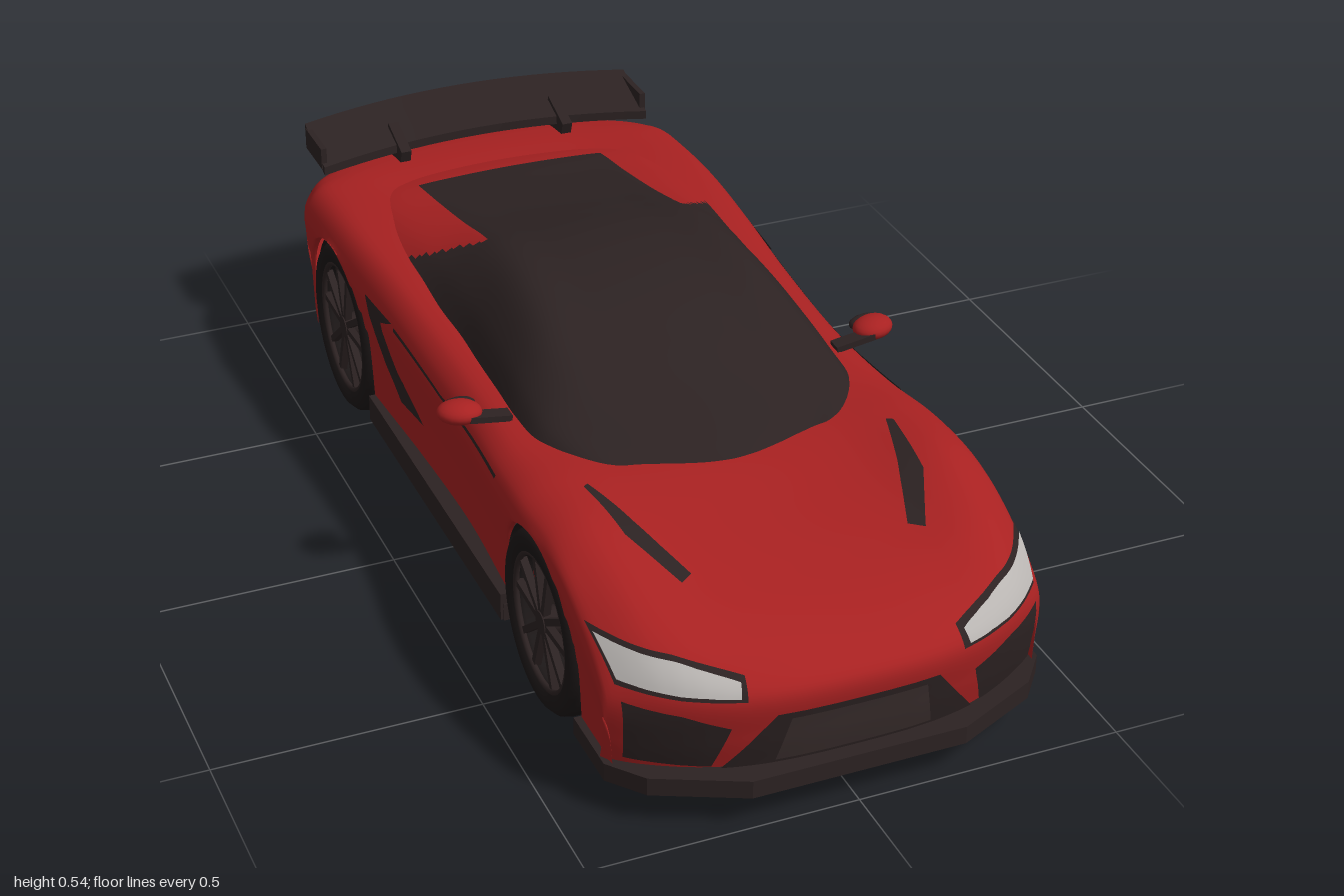
import * as THREE from 'three';

const V = (x, y, z) => new THREE.Vector3(x, y, z);
const paint = (name, color, side = THREE.FrontSide) => {
  const m = new THREE.MeshStandardMaterial({ color, side });
  m.name = name;
  return m;
};
const WHEELS = [
  { name: 'front', z: 0.535, r: 0.172, caliper: -0.085 },
  { name: 'rear', z: -0.6, r: 0.178, caliper: 0.085 },
];

export function createModel() {
  const model = new THREE.Group();
  model.name = 'sportsCar';
  const red = paint('bodyRed', 0xa82121, THREE.DoubleSide);
  const dark = paint('carbonBlack', 0x2c2222, THREE.DoubleSide);
  const rubber = paint('tyreBlack', 0x1c1717, THREE.DoubleSide);
  const lamp = paint('lampGrey', 0xb9b5b2, THREE.DoubleSide);
  const trim = paint('grilleGrey', 0x3a2e2d, THREE.DoubleSide);

  function add(name, geo, mat, x = 0, y = 0, z = 0, parent = model) {
    const m = new THREE.Mesh(geo, mat);
    m.name = name;
    m.position.set(x, y, z);
    parent.add(m);
    return m;
  }
  const box = (w, h, d) => new THREE.BoxGeometry(w, h, d);

  // Smooth skin through mirrored cross-sections; pick() gives the material slot of a cell
  function loft(sections, along, across, warp = () => {}, pick = () => 0) {
    const full = sections.map((h) => [...h, ...h.slice(0, -1).reverse().map((p) => V(-p.x, p.y, p.z))]);
    const rails = full[0].map((_, i) => new THREE.CatmullRomCurve3(full.map((r) => r[i])));
    const n = (full.length - 1) * along, m = (rails.length - 1) * across;
    const pts = [], cells = [[], []];
    for (let i = 0; i <= n; i++) {
      const ring = new THREE.CatmullRomCurve3(rails.map((c) => c.getPoint(i / n)));
      for (let j = 0; j <= m; j++) {
        const p = ring.getPoint(j / m);
        warp(p);
        pts.push(p);
      }
    }
    for (let i = 0; i < n; i++) for (let j = 0; j < m; j++) {
      const a = i * (m + 1) + j, b = a + m + 1;
      const mid = pts[a].clone().add(pts[b + 1]).multiplyScalar(0.5);
      cells[pick(mid)].push(a, a + 1, b, a + 1, b + 1, b);
    }
    const g = new THREE.BufferGeometry().setFromPoints(pts);
    g.setIndex(cells.flat());
    g.addGroup(0, cells[0].length, 0);
    g.addGroup(cells[0].length, cells[1].length, 1);
    g.computeVertexNormals();
    return g;
  }

  // Body shell: z, half width, shoulder height, fender height, centre height
  const bodyKeys = [
    [-0.95, 0.37, 0.11, 0.12, 0.12], [-0.975, 0.38, 0.2, 0.22, 0.22], [-0.975, 0.385, 0.28, 0.32, 0.33],
    [-0.965, 0.39, 0.32, 0.36, 0.37], [-0.93, 0.4, 0.34, 0.39, 0.395], [-0.85, 0.41, 0.355, 0.408, 0.41],
    [-0.7, 0.415, 0.365, 0.42, 0.415], [-0.55, 0.415, 0.365, 0.425, 0.425], [-0.35, 0.405, 0.36, 0.42, 0.42],
    [-0.15, 0.395, 0.35, 0.405, 0.4], [0.1, 0.39, 0.34, 0.392, 0.39], [0.3, 0.4, 0.345, 0.388, 0.385],
    [0.45, 0.41, 0.36, 0.4, 0.38], [0.6, 0.41, 0.362, 0.403, 0.36], [0.75, 0.41, 0.345, 0.378, 0.338],
    [0.86, 0.41, 0.315, 0.347, 0.315], [0.94, 0.41, 0.275, 0.305, 0.282], [0.985, 0.41, 0.225, 0.245, 0.248],
    [0.98, 0.41, 0.15, 0.16, 0.17], [0.965, 0.41, 0.09, 0.095, 0.095],
  ];
  const bodySections = bodyKeys.map(([z, w, ys, yf, yc]) => {
    const yb = Math.min(0.09, ys - 0.015);
    return [V(w - 0.012, yb, z), V(w - 0.008, yb + (ys - yb) * 0.5, z), V(w, ys, z), V(w - 0.03, yf - 0.012, z),
      V(0.325, yf, z), V(0.2, yf * 0.3 + yc * 0.7, z), V(0, yc, z)];
  });
  const body = add('bodyShell', loft(bodySections, 10, 4, (p) => {
    // sweep the nose and tail corners back, then open the wheel arches
    const k = Math.pow(Math.abs(p.x) / 0.41, 3);
    const bend = 0.13 * THREE.MathUtils.smoothstep(p.z, 0.5, 0.95) - 0.1 * THREE.MathUtils.smoothstep(-p.z, 0.75, 0.95);
    p.z -= bend * k;
    for (const w of WHEELS) {
      const d = Math.abs(p.z - w.z), r = w.r + 0.01;
      if (d < r && Math.abs(p.x) > 0.29) p.y = Math.max(p.y, w.r + 0.004 + Math.sqrt(r * r - d * d));
    }
  }), [red, red]);

  // Cabin: z, belt half width, belt height, roof half width, roof edge height, roof centre height
  const cabinKeys = [
    [-0.82, 0.32, 0.36, 0.19, 0.39, 0.395], [-0.7, 0.34, 0.385, 0.2, 0.423, 0.43], [-0.55, 0.345, 0.4, 0.2, 0.448, 0.454],
    [-0.4, 0.34, 0.405, 0.2, 0.476, 0.483], [-0.3, 0.335, 0.4, 0.2, 0.499, 0.507], [-0.2, 0.33, 0.395, 0.205, 0.52, 0.529],
    [-0.1, 0.325, 0.385, 0.21, 0.53, 0.539], [0, 0.325, 0.38, 0.215, 0.527, 0.536], [0.1, 0.325, 0.375, 0.222, 0.508, 0.52],
    [0.2, 0.328, 0.37, 0.228, 0.47, 0.485], [0.3, 0.32, 0.37, 0.225, 0.427, 0.443], [0.42, 0.26, 0.365, 0.17, 0.388, 0.397],
    [0.475, 0.17, 0.35, 0.1, 0.366, 0.374],
  ];
  const cabinSections = cabinKeys.map(([z, wb, yb, wr, yr, yc]) => [V(wb, yb, z),
    V((wb + wr) / 2 + 0.012, (yb + yr) / 2 + 0.008, z), V(wr, yr, z), V(wr * 0.55, yr * 0.3 + yc * 0.7, z), V(0, yc, z)]);
  add('cabin', loft(cabinSections, 10, 6, undefined, (p) => {
    const glass = Math.abs(p.x) < 0.198 ? p.z > -0.69 : p.z > -0.25 - (0.51 - p.y) * 1.7;
    return glass ? 1 : 0;
  }), [red, dark]);

  // Thin panel between two outline edges, laid onto the body surface
  const ray = new THREE.Raycaster();
  const aim = {
    front: (u, v, s) => [V(u * s, v, 3), V(0, 0, -1)],
    back: (u, v, s) => [V(u * s, v, -3), V(0, 0, 1)],
    side: (u, v, s) => [V(3 * s, v, u), V(-s, 0, 0)],
    top: (u, v, s) => [V(u * s, 3, v), V(0, -1, 0)],
  };
  const at = (line, t) => {
    const f = t * (line.length - 1), i = Math.min(Math.floor(f), line.length - 2), k = f - i;
    return [0, 1].map((c) => line[i][c] * (1 - k) + line[i + 1][c] * k);
  };
  function panel(name, mat, view, A, B, lift = 0.006, sides = [1, -1]) {
    const nu = 18, nv = 6;
    for (const s of sides) {
      const pts = [], hit = [], idx = [];
      for (let i = 0; i <= nu; i++) for (let j = 0; j <= nv; j++) {
        const a = at(A, i / nu), b = at(B, i / nu), t = j / nv;
        const [o, d] = aim[view](a[0] + (b[0] - a[0]) * t, a[1] + (b[1] - a[1]) * t, s);
        ray.set(o, d);
        const h = ray.intersectObject(body)[0];
        hit.push(!!h);
        if (!h) { pts.push(V(0, 0.2, 0)); continue; }
        const n = h.face.normal.clone();
        if (n.dot(d) > 0) n.negate();
        pts.push(h.point.clone().addScaledVector(n, lift));
      }
      for (let i = 0; i < nu; i++) for (let j = 0; j < nv; j++) {
        const a = i * (nv + 1) + j, b = a + nv + 1;
        if (hit[a] && hit[b] && hit[a + 1] && hit[b + 1])
          idx.push(...(s > 0 ? [a, b, a + 1, b, b + 1, a + 1] : [a, a + 1, b, b, a + 1, b + 1]));
      }
      const g = new THREE.BufferGeometry().setFromPoints(pts);
      g.setIndex(idx);
      g.computeVertexNormals();
      add(name, g, mat);
    }
  }
  panel('headlightSurround', dark, 'front', [[0.402, 0.322], [0.3, 0.308], [0.195, 0.277]], [[0.39, 0.258], [0.3, 0.249], [0.2, 0.244]], 0.004);
  panel('headlight', lamp, 'front', [[0.396, 0.314], [0.3, 0.3], [0.205, 0.27]], [[0.385, 0.266], [0.3, 0.256], [0.21, 0.25]], 0.008);
  panel('sideGrille', dark, 'front', [[0.385, 0.235], [0.3, 0.222], [0.225, 0.195]], [[0.38, 0.118], [0.31, 0.112], [0.25, 0.108]]);
  panel('grilleSurround', dark, 'front', [[-0.15, 0.213], [0.15, 0.213]], [[-0.235, 0.1], [0.235, 0.1]], 0.004, [1]);
  panel('centreGrille', trim, 'front', [[-0.125, 0.203], [0.125, 0.203]], [[-0.145, 0.11], [0.145, 0.11]], 0.007, [1]);
  panel('hoodVent', dark, 'top', [[0.29, 0.48], [0.255, 0.6], [0.205, 0.74]], [[0.3, 0.49], [0.285, 0.64], [0.23, 0.76]]);
  panel('sideIntake', dark, 'side', [[-0.26, 0.362], [-0.31, 0.342], [-0.24, 0.265], [-0.12, 0.21]],
    [[-0.395, 0.362], [-0.365, 0.325], [-0.31, 0.25], [-0.24, 0.198]]);
  panel('doorCrease', dark, 'side', [[0.32, 0.353], [0, 0.343], [-0.25, 0.358]], [[0.32, 0.347], [0, 0.338], [-0.25, 0.352]], 0.004);
  panel('tailLightBand', dark, 'back', [[-0.365, 0.345], [-0.2, 0.325], [0.2, 0.325], [0.365, 0.345]],
    [[-0.365, 0.315], [-0.2, 0.295], [0.2, 0.295], [0.365, 0.315]], 0.006, [1]);
  panel('rearVent', dark, 'back', [[0.365, 0.27], [0.2, 0.25]], [[0.36, 0.225], [0.22, 0.225]]);
  panel('rearBumperInsert', dark, 'back', [[-0.355, 0.2], [-0.2, 0.185], [0.2, 0.185], [0.355, 0.2]],
    [[-0.35, 0.105], [0.35, 0.105]], 0.006, [1]);

  // Flat floor with wheel notches and front splitter
  const plan = [[0.2, 1], [0.36, 0.925], [0.412, 0.86], [0.412, 0.72], [0.28, 0.72], [0.28, 0.355], [0.405, 0.355],
    [0.405, -0.415], [0.28, -0.415], [0.28, -0.79], [0.395, -0.79], [0.36, -0.93], [0.2, -0.97]];
  const outline = [...plan, ...plan.map(([x, z]) => [-x, z]).reverse()].map(([x, z]) => new THREE.Vector2(x, -z));
  const floor = new THREE.ExtrudeGeometry(new THREE.Shape(outline), { depth: 0.035, bevelEnabled: false });
  add('floorAndSplitter', floor.rotateX(-Math.PI / 2), dark, 0, 0.065, 0);
  add('innerChassis', box(0.55, 0.2, 1.55), dark, 0, 0.19, -0.02);

  // Rear diffuser
  add('diffuserBar', box(0.52, 0.05, 0.05), dark, 0, 0.165, -0.965);
  for (let i = 0; i < 7; i++) add('diffuserFin', box(0.012, 0.08, 0.14), dark, (i - 3) * 0.08, 0.125, -0.92);

  // Rear wing, bowed in plan and raked upward to the back
  const wing = new THREE.BoxGeometry(0.72, 0.018, 0.13, 18, 1, 4);
  const wp = wing.attributes.position;
  for (let i = 0; i < wp.count; i++) {
    const x = wp.getX(i), z = wp.getZ(i);
    wp.setXYZ(i, x, 0.455 + wp.getY(i) - z * 0.33 - 0.05 * x * x, z - 0.932 + 0.38 * x * x);
  }
  wing.computeVertexNormals();
  add('rearWing', wing, dark);

  for (const s of [1, -1]) {
    add('wingEndPlate', box(0.012, 0.045, 0.11), dark, s * 0.356, 0.45, -0.885);
    add('wingStrut', box(0.022, 0.07, 0.09), dark, s * 0.18, 0.42, -0.875).rotation.x = 0.35;
    add('sideSkirt', box(0.05, 0.055, 0.765), dark, s * 0.385, 0.094, -0.03);
    const tip = new THREE.CylinderGeometry(0.022, 0.022, 0.05, 16).rotateX(Math.PI / 2);
    add('exhaustTip', tip, rubber, s * 0.29, 0.165, -0.945);

    // Door mirror
    const arm = add('mirrorArm', box(0.08, 0.012, 0.03), dark, s * 0.365, 0.398, 0.19);
    arm.rotation.z = s * 0.15;
    const shell = add('mirrorShell', new THREE.SphereGeometry(1, 20, 12), red, s * 0.415, 0.407, 0.17);
    shell.scale.set(0.042, 0.021, 0.034);
    shell.rotation.y = s * 0.35;
    const glass = add('mirrorGlass', new THREE.SphereGeometry(1, 16, 8), dark, s * 0.41, 0.407, 0.148);
    glass.scale.set(0.034, 0.017, 0.015);

    for (const w of WHEELS) {
      // Arch liner over each wheel
      const liner = new THREE.CylinderGeometry(w.r + 0.009, w.r + 0.009, 0.12, 32, 1, true, 0, Math.PI);
      add(w.name + 'ArchLiner', liner.rotateZ(Math.PI / 2), rubber, s * 0.335, w.r + 0.004, w.z);

      // Wheel, local y pointing outward
      const g = new THREE.Group();
      g.name = w.name + 'Wheel';
      g.position.set(s * 0.347, w.r + 0.003, w.z);
      g.rotation.z = -s * Math.PI / 2;
      model.add(g);
      const R = w.r, section = [[R - 0.042, -0.058], [R - 0.015, -0.062], [R - 0.003, -0.05], [R, -0.035],
        [R, 0.035], [R - 0.003, 0.05], [R - 0.015, 0.062], [R - 0.042, 0.058], [R - 0.046, 0.04], [R - 0.046, -0.05]];
      add('tyre', new THREE.LatheGeometry(section.map((p) => new THREE.Vector2(...p)), 48), rubber, 0, 0, 0, g);
      add('wheelBack', new THREE.CylinderGeometry(R - 0.044, R - 0.044, 0.02, 32), rubber, 0, -0.02, 0, g);
      add('brakeDisc', new THREE.CylinderGeometry(0.095, 0.095, 0.012, 32), trim, 0, 0, 0, g);
      add('brakeCaliper', box(0.1, 0.03, 0.035), red, 0, 0.012, w.caliper, g);
      add('rimLip', new THREE.TorusGeometry(R - 0.045, 0.006, 8, 40).rotateX(Math.PI / 2), dark, 0, 0.052, 0, g);
      add('hub', new THREE.CylinderGeometry(0.022, 0.028, 0.03, 16), dark, 0, 0.04, 0, g);
      for (let i = 0; i < 10; i++) {
        const spoke = box(R - 0.06, 0.014, 0.013).translate((R - 0.06) / 2 + 0.014, 0, 0);
        add('spoke', spoke, dark, 0, 0.046, 0, g).rotation.y = (Math.floor(i / 2) * 2 * Math.PI) / 5 + (i % 2 ? 0.26 : -0.26);
      }
    }
  }
  return model;
}
